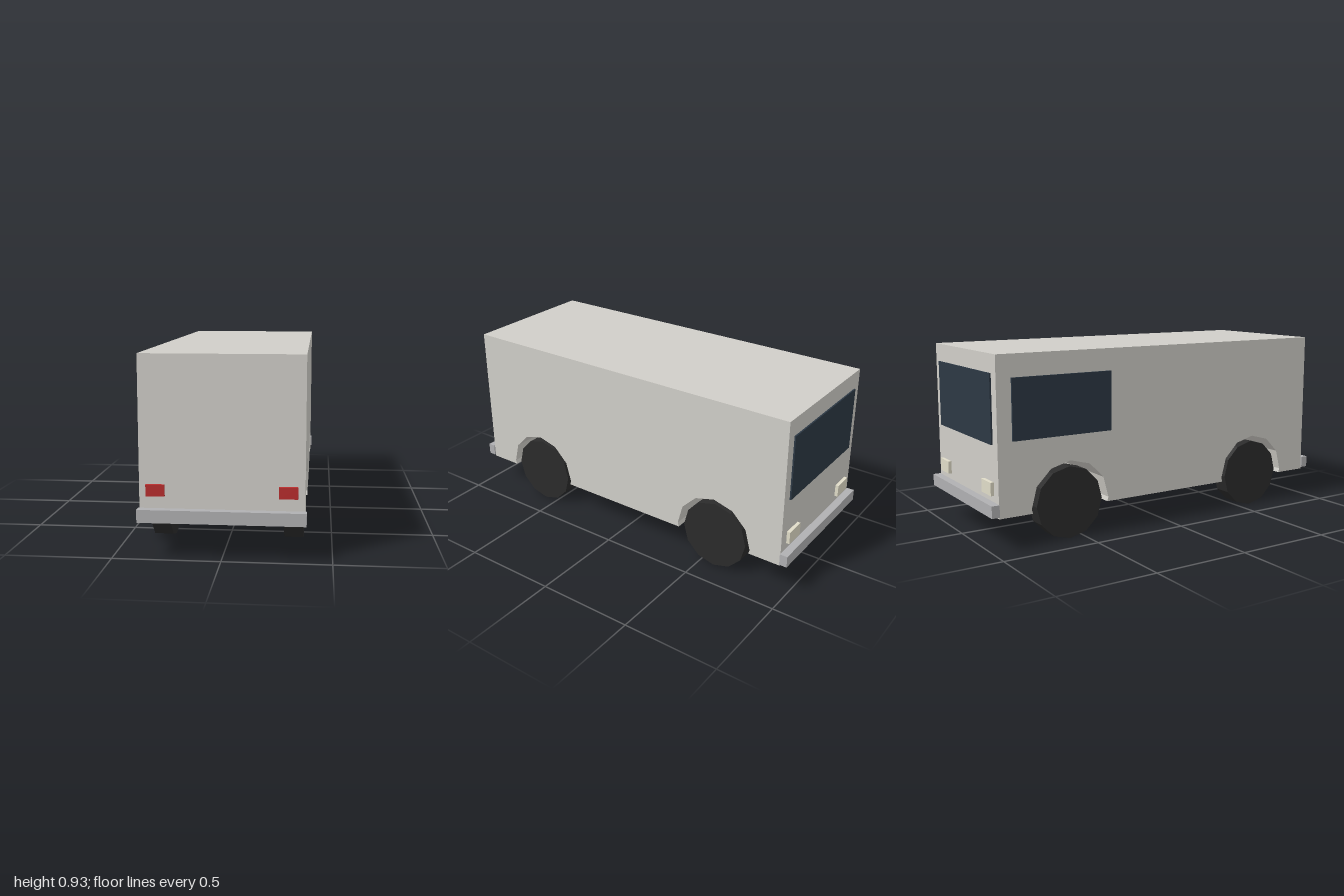
import * as THREE from 'three';

const material = (color) => new THREE.MeshStandardMaterial({ color, flatShading: true });

export function createModel() {
  const van = new THREE.Group();
  van.name = 'van';

  const paint = material(0xd0cec8);
  const bumperGrey = material(0xb0b0b2);
  const rubber = material(0x2b2b2b);
  const glass = material(0x2c3844);
  const red = material(0xb82c2c);
  const lamp = material(0xe0dcc8);

  // Box given by its minimum and maximum corners
  function box(name, mat, [x0, y0, z0], [x1, y1, z1]) {
    const mesh = new THREE.Mesh(new THREE.BoxGeometry(x1 - x0, y1 - y0, z1 - z0), mat);
    mesh.position.set((x0 + x1) / 2, (y0 + y1) / 2, (z0 + z1) / 2);
    mesh.name = name;
    van.add(mesh);
  }

  const axleZ = 0.578, axleY = 0.182, wheelRadius = 0.182, archRadius = 0.214;
  const floorY = 0.16, roofY = 0.93, halfLength = 0.96, halfWidth = 0.375;

  // Body: side profile with twelve-sided wheel arches running the full width
  const profile = new THREE.Shape();
  profile.moveTo(-halfLength, floorY);
  for (const centre of [-axleZ, axleZ]) {
    profile.lineTo(centre - 0.207, floorY);
    for (let i = 6; i >= 0; i--) {
      const a = (i * Math.PI) / 6;
      profile.lineTo(centre + archRadius * Math.cos(a), axleY + archRadius * Math.sin(a));
    }
    profile.lineTo(centre + 0.207, floorY);
  }
  profile.lineTo(halfLength, floorY);
  profile.lineTo(halfLength, roofY);
  profile.lineTo(-halfLength, roofY);
  profile.closePath();
  const bodyGeometry = new THREE.ExtrudeGeometry(profile, { depth: halfWidth * 2, bevelEnabled: false });
  bodyGeometry.translate(0, 0, -halfWidth);
  bodyGeometry.rotateY(-Math.PI / 2);
  const body = new THREE.Mesh(bodyGeometry, paint);
  body.name = 'body';
  van.add(body);

  // Wheels
  const wheelGeometry = new THREE.CylinderGeometry(wheelRadius, wheelRadius, 0.092, 12);
  wheelGeometry.rotateZ(Math.PI / 2);
  for (const side of [-1, 1]) {
    for (const end of [-1, 1]) {
      const wheel = new THREE.Mesh(wheelGeometry, rubber);
      wheel.position.set(side * 0.317, axleY, end * axleZ);
      wheel.name = 'wheel';
      van.add(wheel);
    }
  }

  // Bumpers at both ends
  box('redLightBumper', bumperGrey, [-0.382, 0.17, 0.96], [0.382, 0.23, 1]);
  box('headlightBumper', bumperGrey, [-0.382, 0.17, -1], [0.382, 0.23, -0.96]);

  // Lights
  for (const side of [-1, 1]) {
    const span = (a, b) => (side > 0 ? [a, b] : [-b, -a]);
    const [r0, r1] = span(0.258, 0.343);
    box('redLight', red, [r0, 0.288, 0.95], [r1, 0.341, 0.977]);
    const [h0, h1] = span(0.215, 0.323);
    box('headlight', lamp, [h0, 0.262, -0.977], [h1, 0.327, -0.95]);
  }

  // Windows
  box('windshield', glass, [-0.323, 0.505, -0.968], [0.323, 0.84, -0.95]);
  box('sideWindow', glass, [-0.385, 0.523, -0.885], [-0.365, 0.82, -0.35]);

  return van;
}
